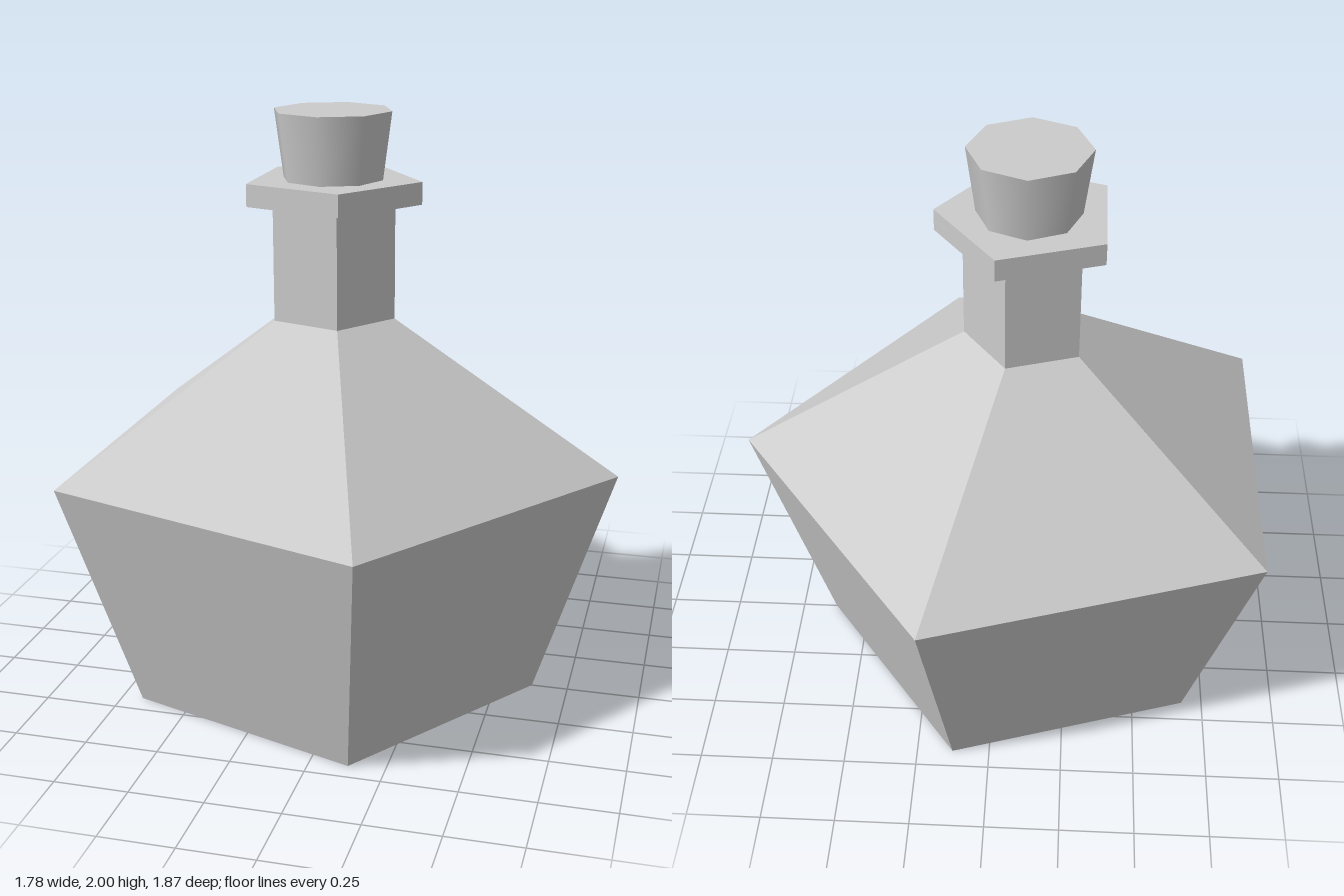
import * as THREE from 'three';

const SIDES = 5;

// Faceted pentagonal solid from [radius, height] rings, with one corner on +x
function pentagonal(name, profile, material) {
  const points = profile.map(([r, y]) => new THREE.Vector2(r, y));
  const geometry = new THREE.LatheGeometry(points, SIDES, Math.PI / 2).toNonIndexed();
  geometry.computeVertexNormals();
  const mesh = new THREE.Mesh(geometry, material);
  mesh.name = name;
  return mesh;
}

export function createModel() {
  const model = new THREE.Group();
  model.name = 'potionBottle';

  const faceted = new THREE.MeshStandardMaterial({ color: 0xcccccc, flatShading: true });
  const smooth = new THREE.MeshStandardMaterial({ color: 0xcccccc });

  // Flared body, sloping shoulder, straight neck and lip in one closed shell
  model.add(pentagonal('bottle', [
    [0, 0], [0.72, 0],
    [0.983, 0.812],
    [0.212, 1.31], [0.212, 1.7],
    [0.302, 1.7], [0.302, 1.775],
    [0, 1.775],
  ], faceted));

  // Tapered eight-sided stopper with smooth sides
  const stopper = new THREE.Mesh(new THREE.CylinderGeometry(0.2, 0.17, 0.225, 8), smooth);
  stopper.name = 'stopper';
  stopper.position.y = 1.8875;
  model.add(stopper);

  // The pentagon's axis sits off centre so its bounds are centred
  model.position.x = -0.095;
  return model;
}
